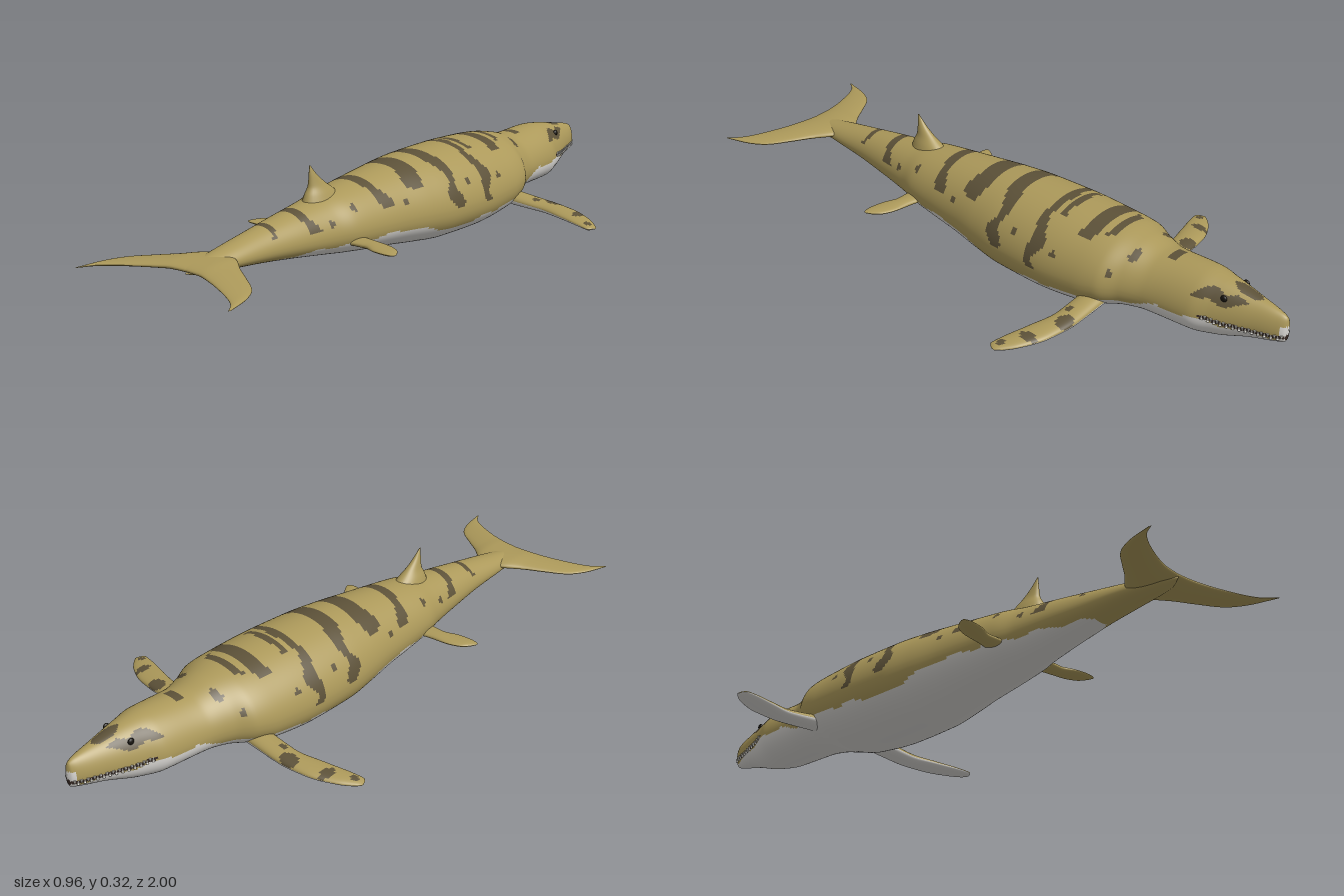
import * as THREE from 'three';

const material = (name, color, side = THREE.FrontSide) => {
  const m = new THREE.MeshStandardMaterial({ color, side });
  m.name = name;
  return m;
};

// Smooth monotone interpolation of rows [key, a, b, ...]
function sample(rows, t) {
  const n = rows.length - 1;
  if (t <= rows[0][0]) return rows[0].slice(1);
  if (t >= rows[n][0]) return rows[n].slice(1);
  let i = 0;
  while (t > rows[i + 1][0]) i++;
  const h = rows[i + 1][0] - rows[i][0], s = (t - rows[i][0]) / h;
  return rows[i].slice(1).map((p, k) => {
    const c = k + 1;
    const d = (j) => (rows[j + 1][c] - rows[j][c]) / (rows[j + 1][0] - rows[j][0]);
    const slope = (j) => {
      if (j === 0) return d(0);
      if (j === n) return d(n - 1);
      const a = d(j - 1), b = d(j);
      return a * b <= 0 ? 0 : (2 * a * b) / (a + b);
    };
    const q = rows[i + 1][c], s2 = s * s, s3 = s2 * s;
    return p * (2 * s3 - 3 * s2 + 1) + q * (3 * s2 - 2 * s3)
      + h * (slope(i) * (s3 - 2 * s2 + s) + slope(i + 1) * (s3 - s2));
  });
}

// Closed loft: point(u, angle) gives a vertex, paint(centre) a material index
function loft(name, rows, sides, point, paint, materials, flip = false) {
  const pos = [], buckets = materials.map(() => []), verts = [];
  for (let i = 0; i <= rows; i++) {
    for (let j = 0; j < sides; j++) {
      const p = point(i / rows, (j / sides) * Math.PI * 2);
      verts.push(p);
      pos.push(p.x, p.y, p.z);
    }
  }
  const mid = new THREE.Vector3();
  for (let i = 0; i < rows; i++) {
    for (let j = 0; j < sides; j++) {
      const a = i * sides + j, b = i * sides + (j + 1) % sides, c = a + sides, d = b + sides;
      mid.copy(verts[a]).add(verts[b]).add(verts[c]).add(verts[d]).multiplyScalar(0.25);
      buckets[paint(mid)].push(...(flip ? [a, c, b, b, c, d] : [a, b, c, b, d, c]));
    }
  }
  const g = new THREE.BufferGeometry();
  g.setAttribute('position', new THREE.Float32BufferAttribute(pos, 3));
  g.setIndex(buckets.flat());
  let start = 0;
  buckets.forEach((b, k) => {
    if (b.length) g.addGroup(start, b.length, k);
    start += b.length;
  });
  g.computeVertexNormals();
  const mesh = new THREE.Mesh(g, materials);
  mesh.name = name;
  return mesh;
}

// Body profile: z, half width, top y, bottom y (the head is at -z)
const BODY = [
  [-1, 0, 0.155, 0.15], [-0.995, 0.014, 0.188, 0.116], [-0.97, 0.028, 0.2, 0.108],
  [-0.9, 0.05, 0.215, 0.092], [-0.8, 0.082, 0.234, 0.062], [-0.74, 0.102, 0.24, 0.055],
  [-0.6, 0.113, 0.236, 0.055], [-0.53, 0.133, 0.252, 0.048], [-0.47, 0.166, 0.264, 0.035],
  [-0.4, 0.178, 0.27, 0.015], [-0.25, 0.185, 0.276, 0.002], [-0.1, 0.179, 0.275, 0.004],
  [0, 0.165, 0.27, 0.015], [0.1, 0.147, 0.261, 0.029], [0.2, 0.133, 0.25, 0.041],
  [0.3, 0.118, 0.238, 0.055], [0.36, 0.1, 0.228, 0.064], [0.5, 0.076, 0.209, 0.086],
  [0.6, 0.061, 0.194, 0.1], [0.72, 0.048, 0.174, 0.114], [0.82, 0.03, 0.156, 0.123],
  [0.865, 0, 0.14, 0.135],
];
// Upper edge of the pale belly: z, y
const BELLY = [
  [-1, 0.125], [-0.85, 0.125], [-0.77, 0.13], [-0.65, 0.125], [-0.55, 0.1], [-0.45, 0.085],
  [-0.3, 0.075], [-0.1, 0.06], [0, 0.08], [0.1, 0.1], [0.3, 0.105], [0.45, 0.105], [0.6, 0.1], [0.67, 0.06],
];
// Dark bands: centre z, half thickness, lowest y
const BANDS = [
  [-0.64, 0.014, 0.233], [-0.46, 0.016, 0.253], [-0.385, 0.021, 0.235], [-0.295, 0.014, 0.258],
  [-0.25, 0.024, 0.115], [-0.1, 0.026, 0.125], [0.035, 0.031, 0.21], [0.18, 0.022, 0.18],
  [0.45, 0.026, 0.16], [0.575, 0.011, 0.17],
];
// Small spots on the flanks: z, y, radius
const SPOTS = [
  [-0.54, 0.225, 0.013], [-0.5, 0.18, 0.009], [-0.32, 0.18, 0.009], [-0.17, 0.19, 0.01],
  [0.1, 0.18, 0.009], [0.29, 0.2, 0.01], [0.38, 0.17, 0.01],
];

function bodyPoint(z, a) {
  const [w, top, bottom] = sample(BODY, z);
  const mid = bottom + (top - bottom) * 0.42, s = Math.sin(a);
  const y = s >= 0 ? mid + (top - mid) * Math.pow(s, 1.1) : mid - (mid - bottom) * Math.pow(-s, 0.88);
  return new THREE.Vector3(w * Math.cos(a), y, z);
}

// Point on the left flank at height y
function flankPoint(z, y) {
  let lo = -Math.PI / 2, hi = Math.PI / 2;
  for (let k = 0; k < 30; k++) {
    const m = (lo + hi) / 2;
    if (bodyPoint(z, m).y < y) lo = m; else hi = m;
  }
  return bodyPoint(z, lo);
}

const mouthY = (z) => 0.133 + 0.012 * Math.max(0, (z + 0.86) / 0.1) ** 2;

// 0 skin, 1 marking, 2 belly, 3 mouth
function paintBody({ x, y, z }) {
  const ax = Math.abs(x);
  if (z < -0.77 && Math.abs(y - mouthY(z)) < 0.005) return 3;
  if (z < -0.985 && y < 0.165) return 2;
  if (y < sample(BELLY, z)[0] + 0.004 * Math.sin(z * 47)) return 2;
  if ((ax / 0.02) ** 2 + ((z + 0.87) / 0.045) ** 2 < 1 && y > 0.19) return 1;
  const ey = y - 0.2 - 0.006 * Math.sin(z * 70);
  if (ax > 0.03 && ((z + 0.815) / 0.075) ** 2 + (ey / 0.016) ** 2 < 1) return 1;
  for (const [sz, sy, r] of SPOTS) if (Math.hypot(z - sz, y - sy) < r) return 1;
  for (const [bz, t, low] of BANDS) {
    const wave = 0.009 * Math.sin(y * 62 + bz * 30);
    const thick = t * (0.82 + 0.3 * Math.sin(y * 75 + ax * 25 + bz * 17));
    if (y > low && Math.abs(z - bz - wave) < thick) return 1;
  }
  return 0;
}

// Fin sections: x, leading z, trailing z, centre y, half thickness
const FLIPPER = [
  [0.12, -0.485, -0.41, 0.078, 0.022], [0.25, -0.486, -0.413, 0.066, 0.017],
  [0.35, -0.472, -0.39, 0.06, 0.014], [0.43, -0.435, -0.367, 0.054, 0.01],
  [0.465, -0.405, -0.36, 0.05, 0.007], [0.48, -0.388, -0.382, 0.049, 0.001],
];
const PELVIC = [
  [0.08, 0.255, 0.325, 0.105, 0.012], [0.15, 0.27, 0.322, 0.105, 0.011], [0.2, 0.275, 0.34, 0.105, 0.009],
  [0.245, 0.292, 0.346, 0.105, 0.007], [0.265, 0.315, 0.344, 0.105, 0.004], [0.274, 0.332, 0.338, 0.105, 0.001],
];
const FLUKE = [
  [0, 0.7, 0.866, 0.146, 0.017], [0.05, 0.725, 0.87, 0.146, 0.016], [0.1, 0.765, 0.884, 0.143, 0.013],
  [0.16, 0.805, 0.908, 0.139, 0.01], [0.22, 0.85, 0.938, 0.135, 0.007], [0.25, 0.9, 0.96, 0.133, 0.005],
  [0.275, 0.985, 0.995, 0.131, 0.001],
];
// Dorsal sections: y, leading z, trailing z, half thickness
const DORSAL = [
  [0.21, 0.24, 0.4, 0.042], [0.24, 0.275, 0.388, 0.03], [0.265, 0.31, 0.376, 0.018],
  [0.295, 0.345, 0.374, 0.009], [0.325, 0.37, 0.374, 0.001],
];

function fin(name, table, side, paint, materials) {
  const x0 = table[0][0], x1 = table[table.length - 1][0];
  return loft(name, 44, 40, (u, a) => {
    const x = x0 + (x1 - x0) * u;
    const [lead, trail, y, t] = sample(table, x);
    return new THREE.Vector3(side * x, y + t * Math.sin(a),
      (lead + trail) / 2 - ((trail - lead) / 2) * Math.cos(a));
  }, paint, materials, side < 0);
}

export function createModel() {
  const model = new THREE.Group();
  model.name = 'marineReptile';
  const skin = material('tanSkin', 0xac995a);
  const marking = material('darkMarking', 0x5c5138);
  const belly = material('paleBelly', 0xd8d6d2);
  const mouth = material('darkMouth', 0x3a2c26);
  const tooth = material('toothWhite', 0xf0ede4);
  const eyeDark = material('eyeBlack', 0x17140f);
  const coat = [skin, marking, belly, mouth];

  model.add(loft('body', 240, 96, (u, a) => bodyPoint(-1 + 1.865 * Math.pow(u, 1.3), a), paintBody, coat));

  // Blotched upper side and pale underside on the front flippers
  const paintFlipper = ({ x, y, z }) => {
    const ax = Math.abs(x);
    if (y < sample(FLIPPER, ax)[2]) return 2;
    const blotch = (cx, cz, rx, rz) => ((ax - cx) / rx) ** 2 + ((z - cz) / rz) ** 2 < 1;
    return blotch(0.28, -0.465, 0.03, 0.022) || blotch(0.39, -0.43, 0.014, 0.03)
      || blotch(0.23, -0.44, 0.012, 0.012) || blotch(0.45, -0.385, 0.012, 0.012) ? 1 : 0;
  };

  const toothShape = new THREE.ConeGeometry(0.0045, 0.014, 6);
  for (const side of [1, -1]) {
    const label = side > 0 ? 'left' : 'right';
    model.add(fin(label + 'FrontFlipper', FLIPPER, side, paintFlipper, coat));
    model.add(fin(label + 'RearFlipper', PELVIC, side, () => 0, coat));
    model.add(fin(label + 'TailFluke', FLUKE, side, () => 0, coat));

    // Eye set into the flank of the head
    const eye = new THREE.Mesh(new THREE.SphereGeometry(0.01, 16, 12), eyeDark);
    eye.name = label + 'Eye';
    eye.position.copy(flankPoint(-0.825, 0.2));
    eye.position.x *= side;
    eye.scale.x = 0.6;
    model.add(eye);

    // Interlocking teeth along the jaw line
    const teeth = new THREE.Group();
    teeth.name = label + 'Teeth';
    for (let i = 0; i < 26; i++) {
      const z = -0.99 + i * 0.0083, down = i % 2 === 0;
      const t = new THREE.Mesh(toothShape, tooth);
      t.name = down ? 'upperTooth' : 'lowerTooth';
      t.position.copy(flankPoint(z, mouthY(z)));
      t.position.x *= side;
      if (down) t.rotation.z = Math.PI;
      teeth.add(t);
    }
    model.add(teeth);
  }

  model.add(loft('dorsalFin', 24, 32, (u, a) => {
    const y = 0.21 + 0.115 * u;
    const [lead, trail, t] = sample(DORSAL, y);
    return new THREE.Vector3(t * Math.sin(a), y, (lead + trail) / 2 + ((trail - lead) / 2) * Math.cos(a));
  }, () => 0, coat));

  return model;
}
